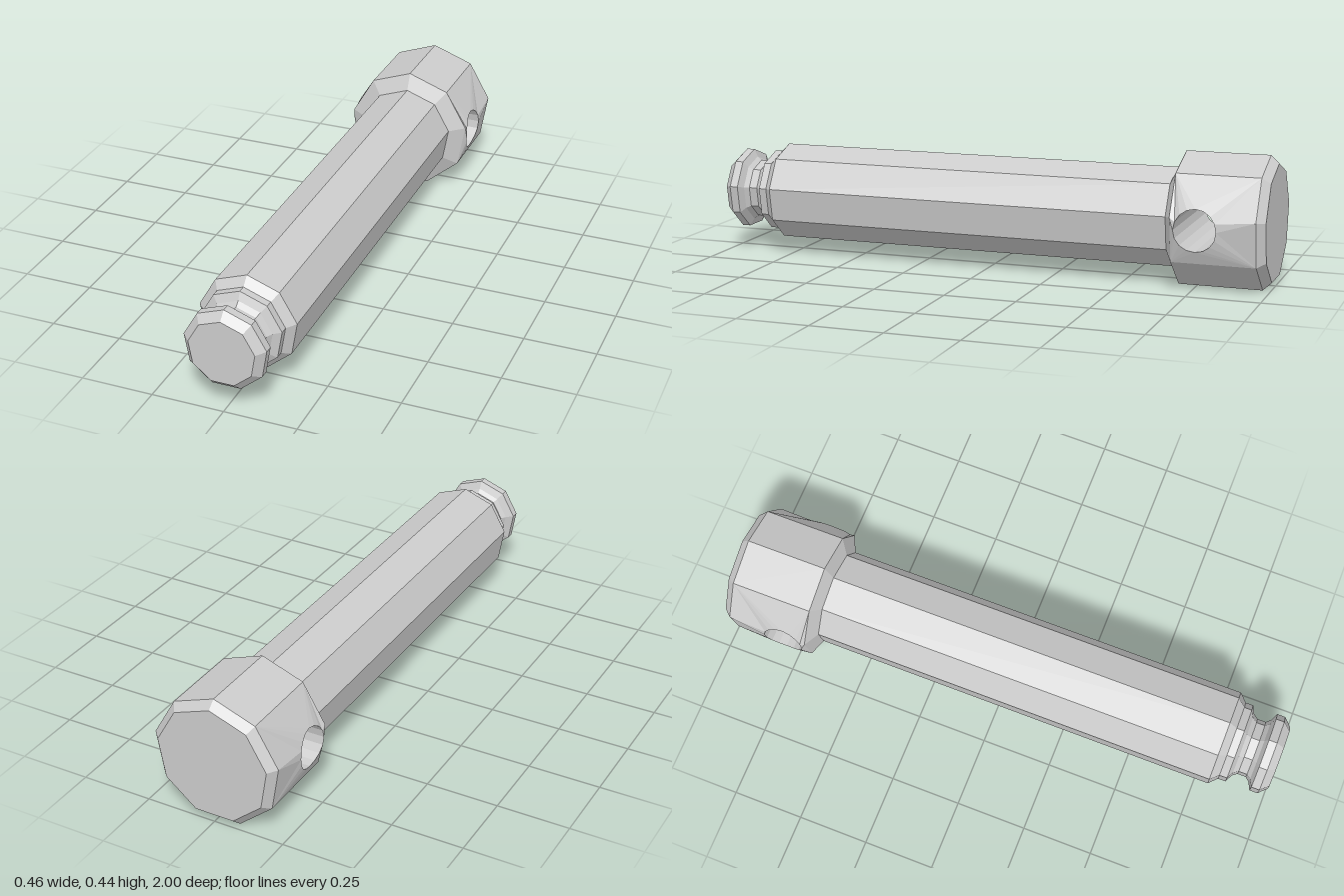
import * as THREE from 'three';

const SIDES = 9, R = 0.2288, CY = 0.215;    // head radius and axis height
const Z_FRONT = -0.685, Z_BACK = -0.972;    // straight part of the head
const HOLE_Z = -0.77, HOLE_R = 0.072, HOLE_N = 16;

const material = new THREE.MeshStandardMaterial({ color: 0xcccccc, flatShading: true });

function addMesh(group, name, geometry) {
  const mesh = new THREE.Mesh(geometry, material);
  mesh.name = name;
  group.add(mesh);
}

// Nine-sided turned part along z, one corner pointing up; profile is [radius, z] with z rising
function turned(profile) {
  const points = profile.map(([r, z]) => new THREE.Vector2(r, z));
  return new THREE.LatheGeometry(points, SIDES, Math.PI).rotateX(Math.PI / 2).translate(0, CY, 0);
}

// Corner of the head at an angle in degrees
function corner(deg, z) {
  const a = THREE.MathUtils.degToRad(deg);
  return [R * Math.cos(a), CY + R * Math.sin(a), z];
}

// Point k of the hole rim, lying on the round surface of the head
function rim(k, side = 1) {
  const a = (k / HOLE_N) * Math.PI * 2;
  const v = HOLE_R * Math.sin(a);
  return [side * Math.sqrt(R * R - v * v), CY + v, HOLE_Z - HOLE_R * Math.cos(a)];
}

function fromTriangles(triangles) {
  const geometry = new THREE.BufferGeometry();
  geometry.setAttribute('position', new THREE.Float32BufferAttribute(triangles.flat(2), 3));
  geometry.computeVertexNormals();
  return geometry;
}

function headWalls() {
  const triangles = [];

  // Plain faces above and below the pierced sides
  for (const deg of [50, 90, 210, 250, 290]) {
    const a = corner(deg, Z_FRONT), b = corner(deg, Z_BACK);
    const c = corner(deg + 40, Z_BACK), d = corner(deg + 40, Z_FRONT);
    triangles.push([a, b, c], [a, c, d]);
  }

  // Pierced side: each outer corner fans to its stretch of the rim
  const outer = [
    [10, Z_BACK, 0, 1], [50, Z_BACK, 1, 4], [50, Z_FRONT, 4, 7],
    [10, Z_FRONT, 7, 8], [-30, Z_FRONT, 8, 12], [-30, Z_BACK, 12, 16],
  ];
  const pierced = [];
  outer.forEach(([deg, z, from, to], i) => {
    const p = corner(deg, z);
    for (let k = from; k < to; k++) pierced.push([p, rim(k + 1), rim(k)]);
    const next = outer[(i + 1) % outer.length];
    pierced.push([p, corner(next[0], next[1]), rim(to)]);
  });

  // Opposite side is mirrored with the winding reversed
  const flip = ([x, y, z]) => [-x, y, z];
  for (const [a, b, c] of pierced) triangles.push([a, b, c], [flip(a), flip(c), flip(b)]);
  return fromTriangles(triangles);
}

// Cross hole running through the head, facing its own axis
function holeWall() {
  const triangles = [];
  for (let k = 0; k < HOLE_N; k++) {
    const a = rim(k), b = rim(k + 1), c = rim(k + 1, -1), d = rim(k, -1);
    triangles.push([a, b, c], [a, c, d]);
  }
  return fromTriangles(triangles);
}

export function createModel() {
  const pin = new THREE.Group();
  pin.name = 'pin';

  // Long shaft
  addMesh(pin, 'shaft', turned([[0.171, -0.657], [0.171, 0.8], [0.143, 0.828]]));

  // Grooved tip
  addMesh(pin, 'grooveTip', turned([
    [0.143, 0.828], [0.143, 0.855], [0.116, 0.868], [0.103, 0.885], [0.103, 0.915],
    [0.116, 0.93], [0.143, 0.943], [0.143, 0.972], [0.115, 1], [0, 1],
  ]));

  // Head with chamfers and cross hole
  const head = new THREE.Group();
  head.name = 'head';
  addMesh(head, 'headShoulder', turned([[R, Z_FRONT], [0.171, -0.657]]));
  addMesh(head, 'headBack', turned([[0, -1], [0.202, -1], [R, Z_BACK]]));
  addMesh(head, 'headWalls', headWalls());
  addMesh(head, 'crossHole', holeWall());
  pin.add(head);

  return pin;
}
